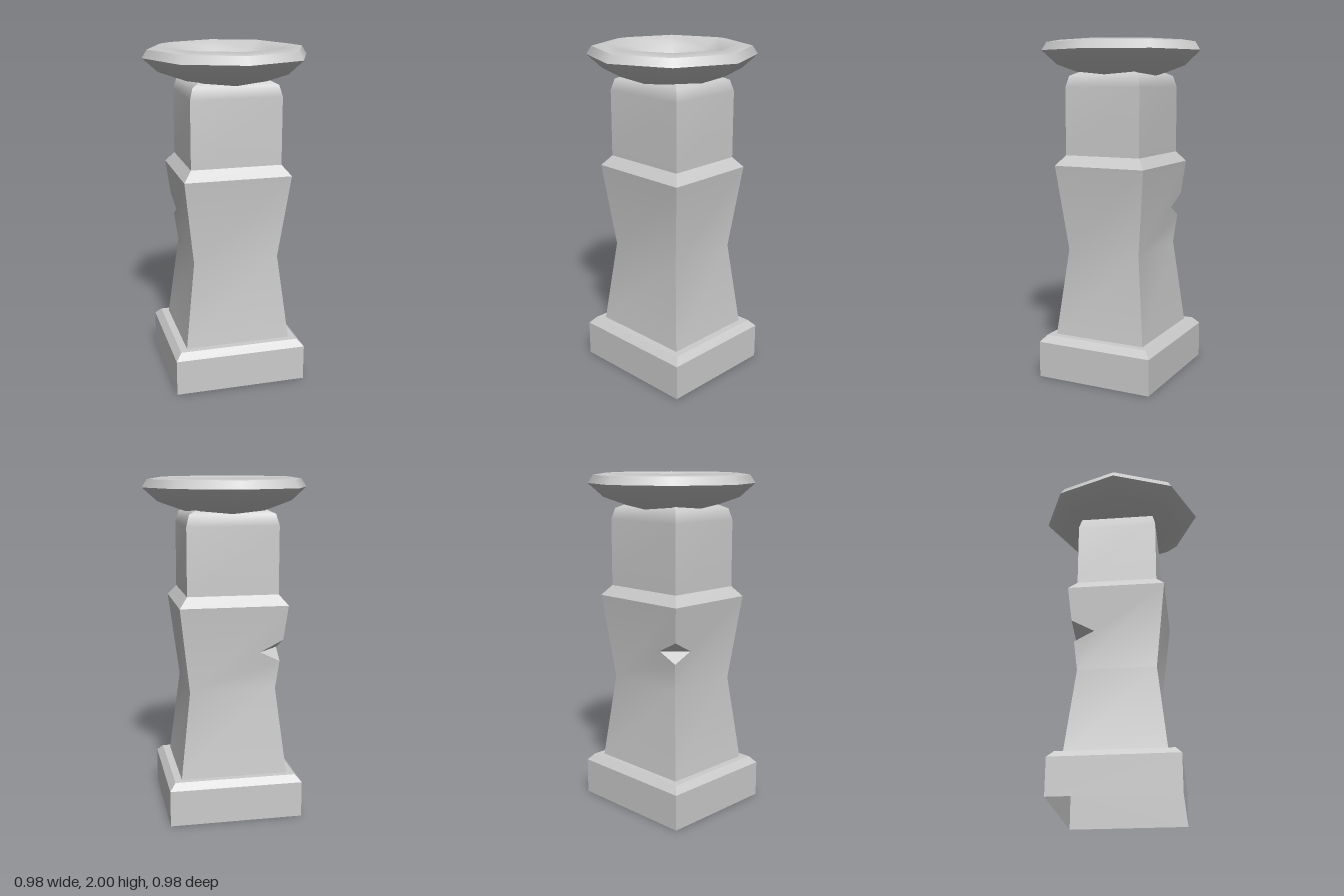
import * as THREE from 'three';
import { mergeGeometries, mergeVertices } from 'three/addons/utils/BufferGeometryUtils.js';

const material = new THREE.MeshStandardMaterial({ color: 0xcccccc, side: THREE.DoubleSide });
const lerp = THREE.MathUtils.lerp;

// Half width, half depth and height at row parameter t of a profile
function rowAt(rows, t) {
  const i = Math.min(Math.floor(t), rows.length - 2);
  return rows[i].map((v, k) => lerp(v, rows[i + 1][k], t - i));
}

// Four-sided shell through rows of [halfWidth, halfDepth, y]; smooth along each side, sharp at corners.
// cuts[side] = { row, sign, t: [bottom, tip, top], u } opens a triangular gap at one corner of that side.
function squareShell(rows, cuts = {}) {
  const sides = [0, 1, 2, 3].map((side) => {
    const along = side % 2; // even sides face z, odd sides face x
    const pieces = [];
    for (let i = 0; i < rows.length - 1; i++) {
      const a = rows[i][along], b = rows[i + 1][along];
      const points = [[-a, i], [a, i], [b, i + 1], [-b, i + 1]];
      const cut = cuts[side];
      if (cut && cut.row === i) {
        const edge = (t) => [cut.sign * rowAt(rows, t)[along], t];
        const gap = [edge(cut.t[0]), [cut.sign * cut.u, cut.t[1]], edge(cut.t[2])];
        if (cut.sign > 0) points.splice(2, 0, ...gap);
        else points.push(...gap.reverse());
      }
      const g = new THREE.ShapeGeometry(new THREE.Shape(points.map((p) => new THREE.Vector2(...p))));
      const pos = g.attributes.position;
      for (let k = 0; k < pos.count; k++) {
        const u = pos.getX(k), t = pos.getY(k) - i;
        const [hx, hz, y] = rows[i].map((v, n) => lerp(v, rows[i + 1][n], t));
        const p = [[u, hz], [hx, -u], [-u, -hz], [-hx, u]][side];
        pos.setXYZ(k, p[0], y, p[1]);
      }
      g.deleteAttribute('normal');
      g.deleteAttribute('uv');
      pieces.push(g);
    }
    const merged = mergeVertices(mergeGeometries(pieces));
    merged.computeVertexNormals();
    return merged;
  });
  return mergeGeometries(sides);
}

export function createModel() {
  const group = new THREE.Group();
  const add = (name, geometry) => {
    const mesh = new THREE.Mesh(geometry, material);
    mesh.name = name;
    group.add(mesh);
  };

  // Plinth, hollow and open underneath
  const plinth = [[0.395, 0.36, 0], [0.395, 0.36, 0.215], [0.36, 0.325, 0.255], [0.317, 0.285, 0.255]];
  ['plinthWall', 'plinthBevel', 'plinthLedge'].forEach((name, i) =>
    add(name, squareShell(plinth.slice(i, i + 2))));

  // Waisted shaft with a chip at the back corner
  const shaft = [[0.317, 0.285, 0.255], [0.255, 0.229, 0.77], [0.317, 0.285, 1.275]];
  const t = [1.337, 1.455, 1.594];
  const uBack = 0.156, uSide = 0.13;
  add('shaft', squareShell(shaft, {
    2: { row: 1, sign: 1, t, u: uBack },
    3: { row: 1, sign: -1, t, u: -uSide * -1 },
  }));

  // The two broken faces inside the chip
  const [bottom, tip, top] = t.map((v) => rowAt(shaft, v));
  const corner = ([hx, hz, y]) => [-hx, y, -hz];
  const backTip = [-uBack, tip[2], -tip[1]];
  const sideTip = [-tip[0], tip[2], -uSide];
  const chip = new THREE.BufferGeometry();
  chip.setAttribute('position', new THREE.Float32BufferAttribute([
    ...corner(bottom), ...sideTip, ...backTip,
    ...corner(top), ...backTip, ...sideTip,
  ], 3));
  chip.computeVertexNormals();
  add('shaftChip', chip);

  // Shoulder and neck
  add('shoulder', squareShell([[0.317, 0.285, 1.275], [0.268, 0.237, 1.335]]));
  add('neck', squareShell([
    [0.268, 0.237, 1.335], [0.268, 0.237, 1.73], [0.25, 0.221, 1.795], [0.2, 0.175, 1.82],
  ]));

  // Octagonal bowl: each profile piece is smooth, with sharp edges between pieces
  const bowl = {
    bowlUnderside: [[0, 1.785], [0.2, 1.79], [0.4, 1.86], [0.49, 1.94]],
    bowlRim: [[0.49, 1.94], [0.46, 1.987]],
    bowlInside: [[0.46, 1.987], [0.38, 2], [0.28, 1.95], [0.18, 1.835]],
    bowlFloor: [[0.18, 1.835], [0, 1.835]],
  };
  for (const [name, profile] of Object.entries(bowl)) {
    add(name, new THREE.LatheGeometry(profile.map((p) => new THREE.Vector2(...p)), 8));
  }
  return group;
}
